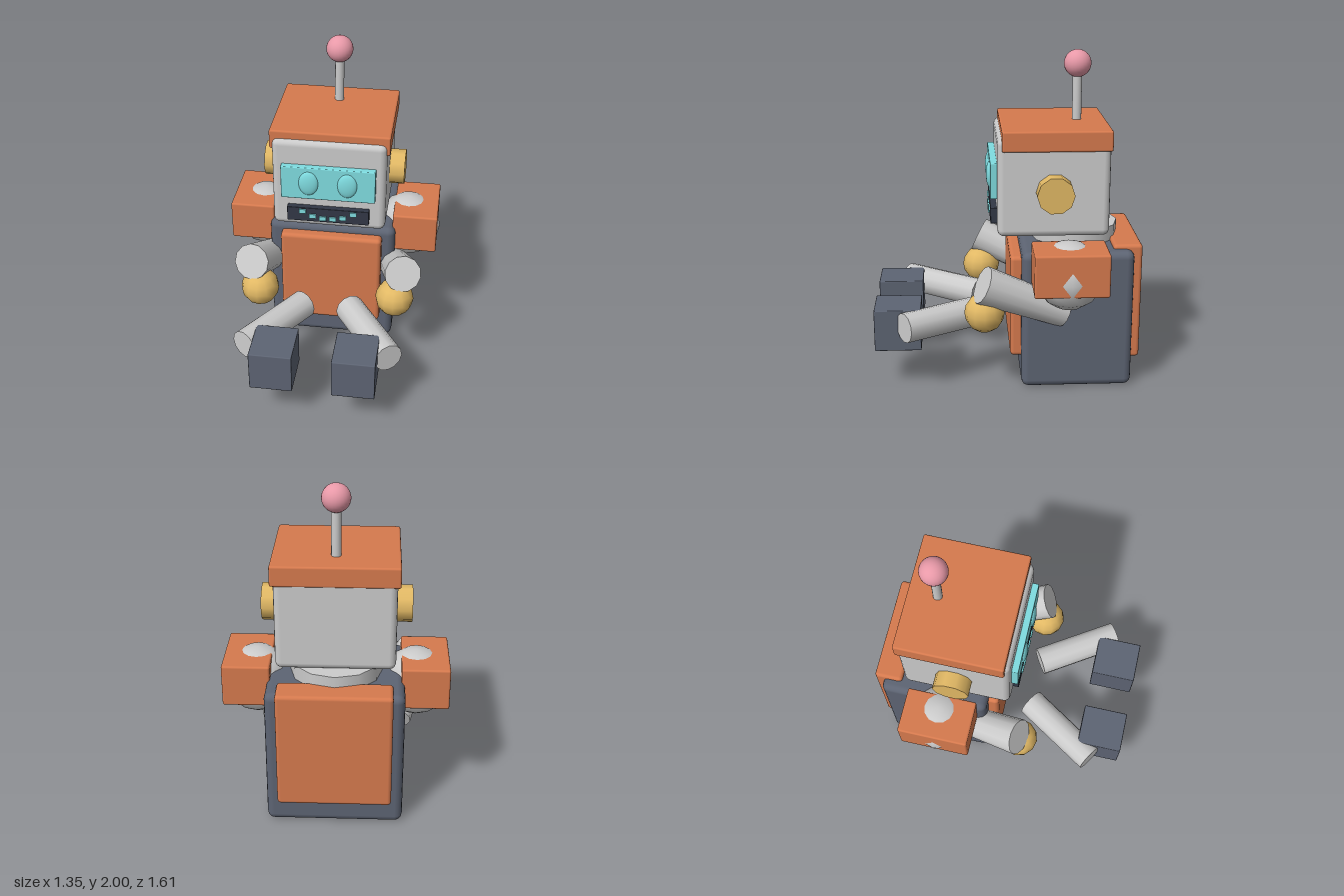
import * as THREE from 'three';
import { RoundedBoxGeometry } from 'three/addons/geometries/RoundedBoxGeometry.js';

const paint = (color) => new THREE.MeshStandardMaterial({ color });
const grey = paint(0xcccccc), orange = paint(0xd67a4e), dark = paint(0x5d6473), gold = paint(0xe2b965),
  pink = paint(0xe899a8), cyan = paint(0x7fdce0), black = paint(0x323846);

function add(parent, name, geometry, material, x = 0, y = 0, z = 0) {
  const mesh = new THREE.Mesh(geometry, material);
  mesh.name = name;
  mesh.position.set(x, y, z);
  parent.add(mesh);
  return mesh;
}

// Bevelled box given by its extents on each axis
function block(parent, name, material, [x0, x1], [y0, y1], [z0, z1], bevel) {
  const geometry = new RoundedBoxGeometry(x1 - x0, y1 - y0, z1 - z0, 2, bevel);
  return add(parent, name, geometry, material, (x0 + x1) / 2, (y0 + y1) / 2, (z0 + z1) / 2);
}

// Tapered cylinder running from point a to point b
function limb(parent, name, material, a, b, ra, rb, sides) {
  const start = new THREE.Vector3(...a), end = new THREE.Vector3(...b);
  const along = end.clone().sub(start);
  const mesh = add(parent, name, new THREE.CylinderGeometry(rb, ra, along.length(), sides), material);
  mesh.position.copy(start).add(end).multiplyScalar(0.5);
  mesh.quaternion.setFromUnitVectors(new THREE.Vector3(0, 1, 0), along.normalize());
  return mesh;
}

function buildBody(root) {
  const body = new THREE.Group();
  body.name = 'body';
  root.add(body);
  block(body, 'torso', dark, [-0.4, 0.4], [0, 0.86], [-0.75, -0.08], 0.045);
  block(body, 'chestPanel', orange, [-0.32, 0.32], [0.175, 0.815], [-0.2, -0.015], 0.025);
  block(body, 'backPanel', orange, [-0.332, 0.332], [0.16, 0.885], [-0.805, -0.63], 0.022);
  add(body, 'neck', new THREE.CylinderGeometry(0.27, 0.27, 0.2, 12), grey, 0, 0.85, -0.42);
}

function buildHead(root) {
  const head = new THREE.Group();
  head.name = 'head';
  root.add(head);
  block(head, 'skull', grey, [-0.345, 0.345], [0.945, 1.535], [-0.6, 0.062], 0.04);
  block(head, 'lid', orange, [-0.362, 0.362], [1.46, 1.582], [-0.606, 0.036], 0.012);
  block(head, 'visor', cyan, [-0.285, 0.285], [1.165, 1.38], [0.02, 0.102], 0.006);
  block(head, 'mouth', black, [-0.25, 0.25], [1.005, 1.1], [0.02, 0.1], 0.004);

  // Lit squares forming a smile
  const smile = [[0.03, 1.034], [0.092, 1.046], [0.155, 1.077]];
  for (const side of [-1, 1]) {
    for (const [x, y] of smile) {
      add(head, 'mouthLight', new THREE.BoxGeometry(0.042, 0.028, 0.03), cyan, side * x, y, 0.094);
    }
    const eye = add(head, 'eye', new THREE.SphereGeometry(1, 24, 16), cyan, side * 0.117, 1.275, 0.1);
    eye.scale.set(0.06, 0.08, 0.022);
    limb(head, 'ear', gold, [side * 0.3, 1.22, -0.272], [side * 0.438, 1.22, -0.272], 0.11, 0.11, 10);
  }

  // Antenna
  limb(head, 'antennaRod', grey, [0, 1.57, -0.43], [0, 1.87, -0.43], 0.028, 0.028, 16);
  add(head, 'antennaBall', new THREE.SphereGeometry(0.082, 24, 16), pink, 0, 1.918, -0.43);
}

function buildArm(root, side) {
  const arm = new THREE.Group();
  arm.name = side > 0 ? 'leftArm' : 'rightArm';
  root.add(arm);
  const span = (a, b) => (side > 0 ? [a, b] : [-b, -a]);
  block(arm, 'shoulderPad', orange, span(0.38, 0.66), [0.68, 0.936], [-0.567, -0.135], 0.012);
  add(arm, 'shoulder', new THREE.SphereGeometry(0.205, 12, 8), grey, side * 0.47, 0.755, -0.35);
  limb(arm, 'upperArm', grey, [side * 0.36, 0.475, -0.335], [side * 0.475, 0.703, 0.155], 0.088, 0.114, 12);
  add(arm, 'elbow', new THREE.SphereGeometry(0.12, 12, 8), gold, side * 0.428, 0.513, 0.143);
  limb(arm, 'forearm', grey, [side * 0.147, 0.412, 0.165], [side * 0.437, 0.424, 0.62], 0.091, 0.09, 12);
  block(arm, 'hand', dark, span(0.117, 0.375), [0.25, 0.508], [0.522, 0.802], 0.006);
}

export function createModel() {
  const root = new THREE.Group();
  root.name = 'robot';
  buildBody(root);
  buildHead(root);
  for (const side of [-1, 1]) buildArm(root, side);
  return root;
}
